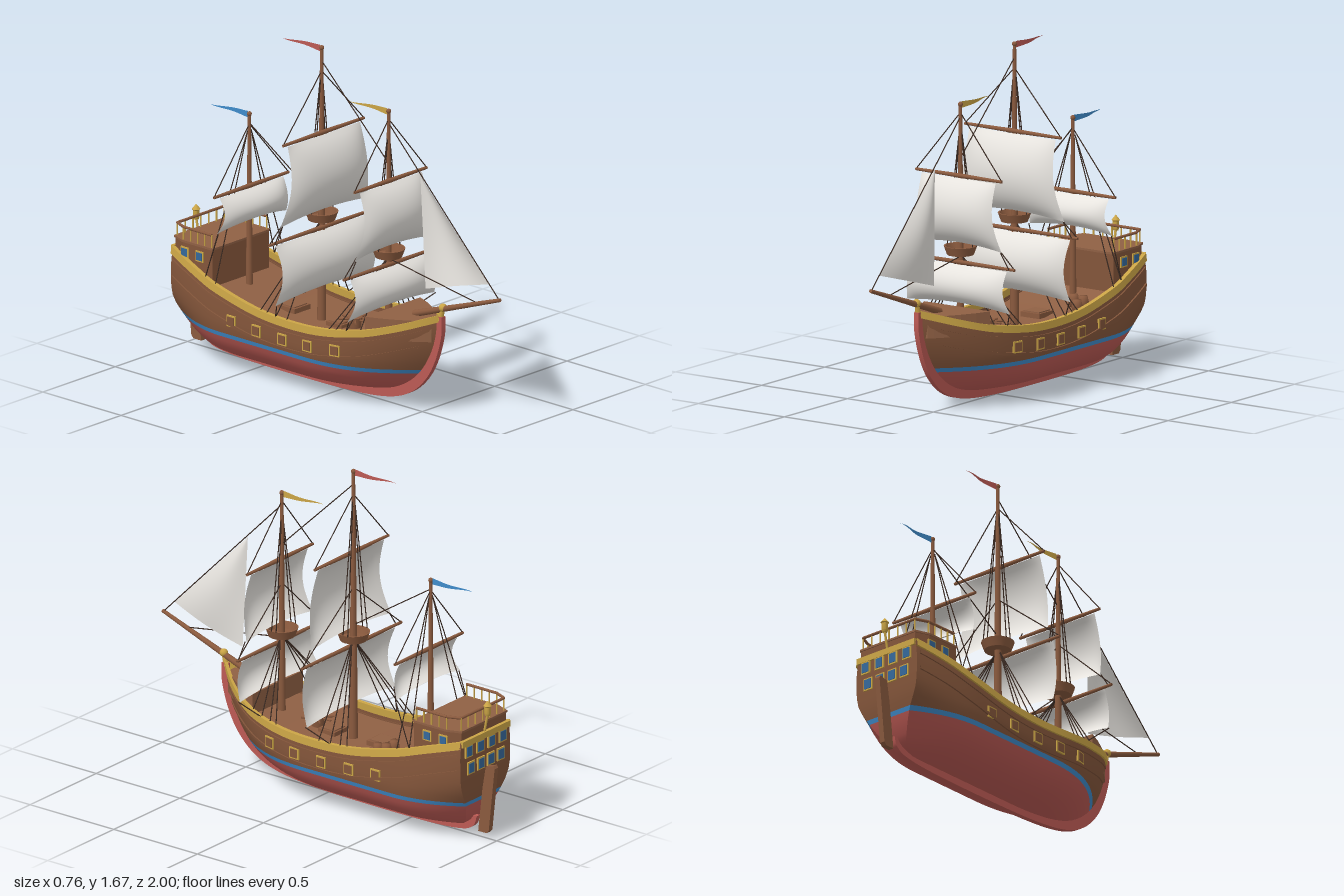
import * as THREE from 'three';
import { toCreasedNormals } from 'three/addons/utils/BufferGeometryUtils.js';

const paint = (name, color) => {
  const m = new THREE.MeshStandardMaterial({ color, side: THREE.DoubleSide });
  m.name = name;
  return m;
};
const lerp = THREE.MathUtils.lerp;
const V = (x, y, z) => new THREE.Vector3(x, y, z);

// Smooth interpolation through a short list of [input, output] pairs
function table(pts) {
  const slope = i => {
    const a = pts[Math.max(i - 1, 0)], b = pts[Math.min(i + 1, pts.length - 1)];
    return (b[1] - a[1]) / (b[0] - a[0]);
  };
  return x => {
    if (x <= pts[0][0]) return pts[0][1];
    for (let i = 0; i < pts.length - 1; i++) {
      const [x0, y0] = pts[i], [x1, y1] = pts[i + 1];
      if (x > x1) continue;
      const h = x1 - x0, t = (x - x0) / h, t2 = t * t, t3 = t2 * t;
      return y0 * (2 * t3 - 3 * t2 + 1) + y1 * (3 * t2 - 2 * t3) + h * (slope(i) * (t3 - 2 * t2 + t) + slope(i + 1) * (t3 - t2));
    }
    return pts[pts.length - 1][1];
  };
}

// Hull lines: top edge by z, stem and stern by height, beam by height
const sheer = table([[-0.93, 0.535], [-0.75, 0.485], [-0.6, 0.44], [-0.3, 0.38], [0, 0.37], [0.3, 0.405], [0.45, 0.445], [0.62, 0.505]]);
const stemZ = table([[0.035, 0.05], [0.05, 0.2], [0.08, 0.33], [0.13, 0.43], [0.2, 0.51], [0.3, 0.575], [0.4, 0.61], [0.5, 0.62]]);
const sternZ = table([[0.035, -0.75], [0.06, -0.83], [0.1, -0.87], [0.2, -0.915], [0.3, -0.93], [0.5, -0.93]]);
const sternWidth = table([[0.035, 0.3], [0.2, 0.52], [0.3, 0.7], [0.45, 0.77]]);
const beam = y => y < 0.26 ? 0.258 * Math.sqrt(Math.max(0, 1 - ((0.26 - y) / 0.225) ** 2)) : 0.258 - 0.35 * (y - 0.26) ** 2;
const plan = (u, y) => u > 0.6 ? 1 - ((u - 0.6) / 0.4) ** 2.5
  : u < 0.25 ? 1 - (1 - sternWidth(y)) * (1 - u / 0.25) ** 2 : 1;
const hullPoint = (u, y) => V(beam(y) * plan(u, y), y, lerp(sternZ(y), stemZ(y), u));
const halfWidth = (y, z) => beam(y) * plan((z - sternZ(y)) / (stemZ(y) - sternZ(y)), y);
const sheerAt = u => sheer(lerp(-0.93, 0.62, u));
const deckY = z => sheer(z) - 0.06;

// Surface from a rule giving a point for two values in 0..1
function grid(nu, nv, f) {
  const pos = [], idx = [];
  for (let i = 0; i <= nu; i++) for (let j = 0; j <= nv; j++) {
    pos.push(...f(i / nu, j / nv).toArray());
    if (i < nu && j < nv) {
      const a = i * (nv + 1) + j, b = a + nv + 1;
      idx.push(a, b, a + 1, b, b + 1, a + 1);
    }
  }
  const g = new THREE.BufferGeometry();
  g.setAttribute('position', new THREE.Float32BufferAttribute(pos, 3));
  g.setIndex(idx);
  g.computeVertexNormals();
  return g;
}

export function createModel() {
  const root = new THREE.Group();
  root.name = 'sailingShip';
  const wood = paint('hull brown', 0x83553a), deckWood = paint('deck brown', 0x8f6044), spar = paint('spar brown', 0x8a5a3e);
  const red = paint('bottom red', 0xbc5a54), blue = paint('stripe blue', 0x3f8ccb), gold = paint('gold', 0xcba546);
  const canvas = paint('canvas white', 0xe6e3de), rope = paint('rope dark', 0x3a2a22), glass = paint('window blue', 0x35689a);

  const add = (name, geo, mat, x = 0, y = 0, z = 0) => {
    const m = new THREE.Mesh(geo, mat);
    m.name = name;
    m.position.set(x, y, z);
    root.add(m);
    return m;
  };
  const box = (name, mat, w, h, d, x, y, z) => add(name, new THREE.BoxGeometry(w, h, d), mat, x, y, z);
  const rod = (name, mat, a, b, ra, rb = ra, sides = 12) => {
    const m = add(name, new THREE.CylinderGeometry(rb, ra, a.distanceTo(b), sides), mat);
    m.position.copy(a).lerp(b, 0.5);
    m.quaternion.setFromUnitVectors(V(0, 1, 0), b.clone().sub(a).normalize());
  };
  const line = (a, b) => rod('rigging', rope, a, b, 0.0028, 0.0028, 5);
  const sideProfile = (shape, t) => new THREE.ExtrudeGeometry(shape, { depth: t, bevelEnabled: false }).translate(0, 0, -t / 2).rotateY(-Math.PI / 2);
  const block = (name, mat, pts, y0, y1) => {
    const s = new THREE.Shape(pts.map(([x, z]) => new THREE.Vector2(x, -z)));
    add(name, new THREE.ExtrudeGeometry(s, { depth: y1 - y0, bevelEnabled: false }).rotateX(-Math.PI / 2), mat, 0, y0);
  };

  // Hull sides and transom in three colour bands
  const bands = [
    ['hullBottom', red, 12, t => 0.035 + 0.155 * t * t],
    ['waterlineStripe', blue, 1, t => 0.19 + 0.022 * t],
    ['hullTopsides', wood, 8, (t, u) => lerp(0.212, sheerAt(u), t)]];
  for (const [name, mat, n, yOf] of bands) {
    for (const side of [1, -1]) add(name, grid(48, n, (a, t) => {
      const u = 1 - (1 - a) ** 1.5, p = hullPoint(u, yOf(t, u));
      return p.setX(p.x * side);
    }), mat);
    add(name + 'Transom', grid(2, n, (k, t) => {
      const p = hullPoint(0, yOf(t, 0));
      return p.setX(p.x * (2 * k - 1));
    }), mat);
  }

  // Strips following the sheer: gold rail and two wales
  const strip = (name, mat, u0, u1, drop, h, out, inn) => {
    const ring = [[out, 0], [out, -h], [-inn, -h], [-inn, 0], [out, 0]];
    for (const side of [1, -1]) add(name, toCreasedNormals(grid(50, 4, (a, v) => {
      const u = lerp(u0, u1, 1 - (1 - a) ** 1.5), [dx, dy] = ring[Math.round(v * 4)];
      const p = hullPoint(u, sheerAt(u) - drop + dy);
      return p.setX(side * Math.max(0, p.x + dx));
    }), 0.7), mat);
  };
  strip('goldRail', gold, 0, 1, -0.003, 0.036, 0.01, 0.012);
  strip('upperWale', wood, 0.01, 0.96, 0.055, 0.012, 0.007, 0.004);
  strip('lowerWale', wood, 0.01, 0.96, 0.135, 0.014, 0.008, 0.004);
  box('sternRail', gold, 0.36, 0.03, 0.02, 0, 0.523, -0.93);

  // Keel with stem, and rudder
  const v2 = a => a.map(([x, y]) => new THREE.Vector2(x, y));
  const keel = new THREE.Shape();
  keel.moveTo(0.635, 0.5);
  keel.splineThru(v2([[0.632, 0.4], [0.59, 0.265], [0.525, 0.16], [0.43, 0.08], [0.3, 0.032], [0.1, 0.008], [-0.2, 0], [-0.6, 0.002], [-0.8, 0.018], [-0.87, 0.05], [-0.89, 0.1]]));
  keel.lineTo(-0.85, 0.1);
  keel.splineThru(v2([[-0.76, 0.06], [-0.3, 0.05], [0.15, 0.06], [0.38, 0.13], [0.49, 0.22], [0.56, 0.32], [0.595, 0.42], [0.6, 0.5]]));
  add('keel', sideProfile(keel, 0.026), red);
  add('rudder', sideProfile(new THREE.Shape(v2([[-0.9, 0.03], [-0.95, 0.03], [-0.963, 0.045], [-0.998, 0.365], [-0.99, 0.378], [-0.945, 0.365], [-0.925, 0.25]])), 0.028), spar);

  // Decks and cabin
  add('mainDeck', grid(40, 2, (u, k) => {
    const p = hullPoint(u, sheerAt(u) - 0.06);
    return p.setX(p.x * (2 * k - 1) * 0.99);
  }), deckWood);
  const fore = [0.31, 0.38, 0.45, 0.51, 0.56, 0.585].map(z => [halfWidth(sheer(z) - 0.02, z) * 0.94, z]);
  block('foreDeck', deckWood, [...fore, ...fore.map(([x, z]) => [-x, z]).reverse()], 0.37, 0.474);
  const cab = [[0.195, -0.66], [0.195, -0.85], [0.168, -0.922]];
  block('sternCabin', wood, [...cab, ...cab.map(([x, z]) => [-x, z]).reverse()], 0.37, 0.578);
  block('cabinRoof', deckWood, [[0.2, -0.655], [0.2, -0.852], [0.172, -0.927], [-0.172, -0.927], [-0.2, -0.852], [-0.2, -0.655]], 0.578, 0.588);

  // Cabin railing
  const corners = [V(0.19, 0.65, -0.67), V(0.19, 0.65, -0.85), V(0.162, 0.65, -0.915), V(-0.162, 0.65, -0.915), V(-0.19, 0.65, -0.85), V(-0.19, 0.65, -0.67)];
  [4, 1, 6, 1, 4].forEach((n, i) => {
    rod('railing', spar, corners[i], corners[i + 1], 0.007, 0.007, 8);
    for (let k = 0; k <= n; k++) {
      const p = corners[i].clone().lerp(corners[i + 1], k / n);
      rod('railingPost', gold, p.clone().setY(0.585), p, 0.004, 0.004, 6);
    }
  });

  // Stern and side windows
  for (const [y, step] of [[0.478, 0.085], [0.39, 0.075]]) for (const k of [-1.5, -0.5, 0.5, 1.5]) {
    box('windowFrame', gold, 0.054, 0.062, 0.008, k * step, y, -0.934);
    box('windowPane', glass, 0.04, 0.048, 0.008, k * step, y, -0.937);
  }
  for (const side of [1, -1]) {
    for (const z of [-0.74, -0.835]) {
      box('windowFrame', gold, 0.008, 0.052, 0.05, side * 0.196, 0.53, z);
      box('windowPane', glass, 0.008, 0.038, 0.036, side * 0.199, 0.53, z);
    }
    // Gun ports
    for (const [z, y] of [[0.165, 0.285], [0.005, 0.275], [-0.155, 0.27], [-0.32, 0.275], [-0.48, 0.285]]) {
      const w = halfWidth(y, z), yaw = Math.atan((halfWidth(y, z + 0.02) - w) / 0.02);
      box('portFrame', gold, 0.009, 0.056, 0.056, side * (w + 0.002), y, z).rotation.y = side * yaw;
      box('portLid', wood, 0.009, 0.042, 0.042, side * (w + 0.005), y, z).rotation.y = side * yaw;
    }
  }

  // Stern lantern and bow ornament
  rod('lanternPost', gold, V(0, 0.53, -0.925), V(0, 0.625, -0.945), 0.006);
  const lamp = [[0, 0], [0.012, 0], [0.016, 0.01], [0.016, 0.045], [0.02, 0.05], [0.006, 0.068], [0, 0.075]];
  add('lantern', toCreasedNormals(new THREE.LatheGeometry(v2(lamp), 12), 0.6), gold, 0, 0.62, -0.945);
  add('bowOrnament', new THREE.SphereGeometry(0.02, 14, 10), gold, 0, 0.545, 0.632);
  rod('ornamentNeck', gold, V(0, 0.48, 0.615), V(0, 0.545, 0.632), 0.014, 0.011);

  // Deck fittings
  for (const [z, s] of [[-0.32, 0.11], [-0.02, 0.1]]) {
    box('hatchFrame', spar, s, 0.024, s, 0, deckY(z) + 0.008, z);
    box('hatchCover', deckWood, s * 0.8, 0.03, s * 0.8, 0, deckY(z) + 0.01, z);
  }
  rod('capstan', spar, V(0, 0.3, 0.07), V(0, 0.37, 0.07), 0.026, 0.036);
  for (let i = 0; i < 4; i++) {
    const a = i * Math.PI / 4, d = V(Math.cos(a) * 0.078, 0, Math.sin(a) * 0.078), c = V(0, 0.36, 0.07);
    rod('capstanBar', spar, c.clone().sub(d), c.clone().add(d), 0.005, 0.005, 6);
  }
  for (const [x, z] of [[0.105, -0.47], [0.162, -0.468], [0.162, -0.418]]) {
    const y = deckY(z);
    add('barrel', new THREE.LatheGeometry(v2([[0, 0], [0.02, 0], [0.026, 0.03], [0.02, 0.06], [0, 0.06]]), 14), spar, x, y, z);
  }

  // Masts: [z, top, radius, nest height, flag colour, sails]; sail: [yard y, yard half, bottom y, top half, bottom half]
  const masts = [
    ['fore', 0.285, 1.44, 0.019, 0.74, gold, [[0.685, 0.325, 0.47, 0.28, 0.3], [1.1, 0.25, 0.76, 0.215, 0.25]]],
    ['main', -0.143, 1.655, 0.022, 0.825, red, [[0.77, 0.378, 0.46, 0.335, 0.335], [1.24, 0.28, 0.84, 0.25, 0.3]]],
    ['mizzen', -0.605, 1.22, 0.017, 0, blue, [[0.87, 0.258, 0.685, 0.22, 0.24]]]];
  for (const [name, z, top, r, nest, flag, sails] of masts) {
    rod(name + 'Mast', spar, V(0, deckY(z) - 0.02, z), V(0, top, z), r, 0.008);
    add(name + 'MastCap', new THREE.SphereGeometry(0.012, 10, 8), spar, 0, top, z);
    if (nest) {
      const cup = v2([[0, -0.02], [0.064, -0.02], [0.079, 0.022], [0.071, 0.022], [0.06, -0.01], [0, -0.01]]);
      add(name + 'CrowsNest', toCreasedNormals(new THREE.LatheGeometry(cup, 20), 0.6), spar, 0, nest, z);
    }
    // Waving pennant
    add(name + 'Pennant', grid(14, 2, (t, v) => V(0.016 * Math.sin(t * 5.5) * t, top - 0.004 + (v - 0.5) * 0.032 * (1 - t), z - 0.01 - 0.232 * t)), flag);
    sails.forEach(([y, half, low, wt, wb], i) => {
      const zy = z + 0.022, bulge = y - low > 0.25 ? 1 : 0.85;
      for (const s of [1, -1]) rod(name + 'Yard', spar, V(0, y, zy - 0.01), V(s * half, y, zy - 0.01), 0.011, 0.007);
      add(name + 'Sail', grid(24, 18, (a, t) => {
        const s = 2 * a - 1, arc = Math.sin(Math.PI * t), pad = (1 - Math.abs(s) ** 5) * (1 - Math.abs(2 * t - 1) ** 5);
        const w = lerp(wt, wb, t) - 0.012 * arc;
        return V(s * w, lerp(y - 0.012, low, t) + 0.02 * t ** 4 * (1 - s * s), zy - 0.008 + bulge * (0.036 * arc + 0.022 * pad + 0.022 * arc * (1 - s * s)));
      }), canvas);
      // Sheets from the lower corners
      for (const s of [1, -1]) {
        const rz = z - 0.06, next = sails[i - 1];
        line(V(s * wb, low, zy), next ? V(s * next[1] * 0.92, next[0], zy) : V(s * halfWidth(sheer(rz), rz), sheer(rz), rz));
        line(V(s * half, y, zy - 0.01), V(0, Math.min(top - 0.04, y + 0.3), z));
      }
    });
    // Shrouds
    const hub = nest ? nest - 0.03 : top - 0.08;
    for (const s of [1, -1]) for (const dz of [0.01, -0.06, -0.12, -0.16]) {
      if (!nest && dz < -0.07) continue;
      const rz = z + dz, ry = sheer(rz) - 0.005;
      line(V(s * 0.012, hub, z), V(s * halfWidth(ry, rz), ry, rz));
      if (nest && dz > -0.1) line(V(s * 0.074, nest + 0.02, z + dz * 0.4), V(0, top - 0.08, z));
    }
  }

  // Bowsprit, stays and jib
  rod('bowsprit', spar, V(0, 0.475, 0.45), V(0, 0.667, 0.997), 0.017, 0.009);
  line(V(0, 1.38, 0.285), V(0, 0.667, 0.99));
  line(V(0, 1.59, -0.143), V(0, 1.185, 0.28));
  line(V(0, 1.175, -0.605), V(0, 0.88, -0.145));
  line(V(0, 0.62, 0.845), V(0, 0.71, 0.29));
  const head = V(0, 1.165, 0.488), tack = V(0, 0.728, 0.925), clew = V(0.012, 0.608, 0.51);
  add('jib', grid(18, 14, (s, t) => {
    const p = head.clone().lerp(tack.clone().lerp(clew, t), s);
    return p.setX(p.x + 0.04 * Math.sin(Math.PI * t) * Math.sin(Math.PI * s * 0.85));
  }), canvas);

  return root;
}
